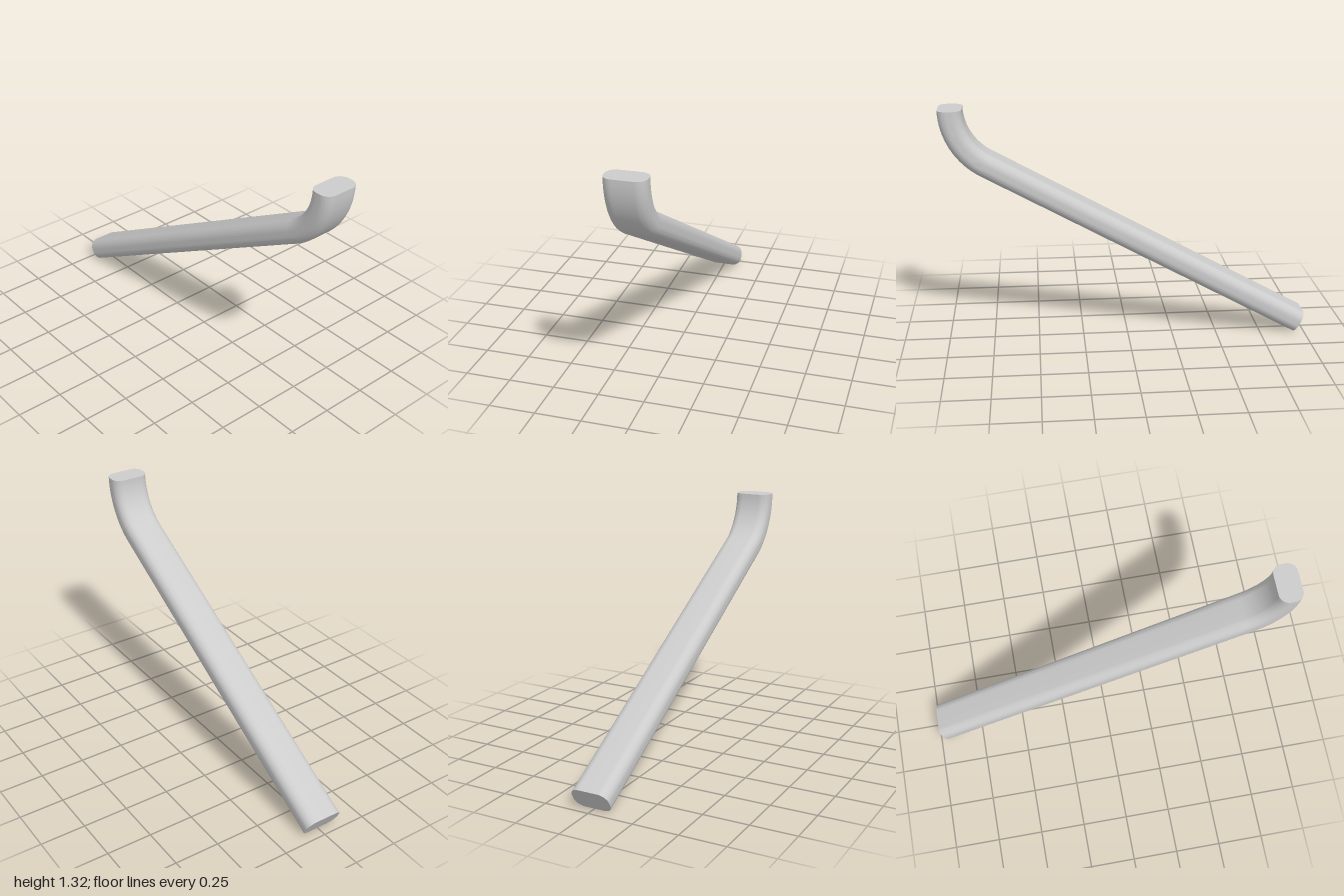
import * as THREE from 'three';
import { toCreasedNormals } from 'three/addons/utils/BufferGeometryUtils.js';

const WIDTH = 0.214, THICK = 0.127, CORNER = 0.052;
const SLOPE = THREE.MathUtils.degToRad(29);
const BEND = { y: 1.317, z: 0.589, radius: 0.348, steps: 16 };
const FOOT = { y: 0.0555, z: -0.969 };

// Rounded-rectangle cross-section of the bar
function barProfile() {
  const x = WIDTH / 2 - CORNER, y = THICK / 2 - CORNER, q = Math.PI / 2;
  const s = new THREE.Shape();
  s.absarc(x, y, CORNER, 0, q);
  s.absarc(-x, y, CORNER, q, 2 * q);
  s.absarc(-x, -y, CORNER, 2 * q, 3 * q);
  s.absarc(x, -y, CORNER, 3 * q, 4 * q);
  s.closePath();
  return s;
}

// Centre line: the foot, then an arc from the slope up to vertical
function centreLine() {
  const stations = [{ ...FOOT, angle: SLOPE }];
  for (let i = 0; i <= BEND.steps; i++) {
    const angle = SLOPE + (Math.PI / 2 - SLOPE) * i / BEND.steps;
    stations.push({
      y: BEND.y - BEND.radius * Math.cos(angle),
      z: BEND.z + BEND.radius * Math.sin(angle),
      angle,
    });
  }
  return stations;
}

export function createModel() {
  const stations = centreLine();
  const count = stations.length - 1;
  const geometry = new THREE.ExtrudeGeometry(barProfile(), {
    depth: count, steps: count, bevelEnabled: false, curveSegments: 8,
  });

  // Each extrusion step is moved onto its station of the centre line
  const pos = geometry.attributes.position;
  for (let i = 0; i < pos.count; i++) {
    const s = stations[Math.round(pos.getZ(i))];
    const t = pos.getY(i);
    pos.setXYZ(i, pos.getX(i), s.y + t * Math.cos(s.angle), s.z - t * Math.sin(s.angle));
  }

  const bar = new THREE.Mesh(
    toCreasedNormals(geometry, Math.PI / 5),
    new THREE.MeshStandardMaterial({ color: 0xcccccc }),
  );
  bar.name = 'bentBar';

  const group = new THREE.Group();
  group.name = 'bentHandle';
  group.add(bar);
  return group;
}
